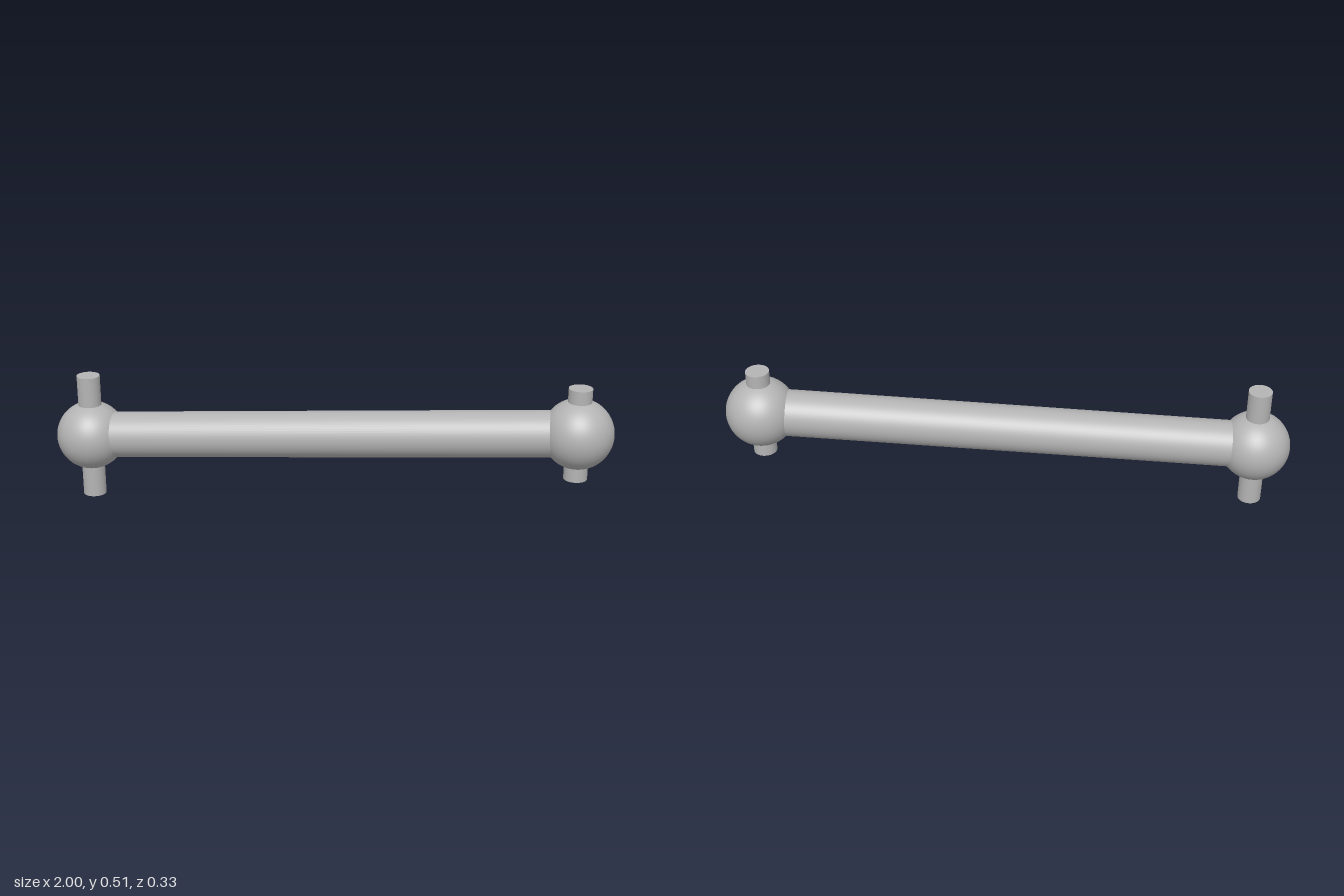
import * as THREE from 'three';

const BALL_RADIUS = 0.1245;
const PIN_RADIUS = 0.0415;
const ROD_RADIUS = 0.083;

export function createModel() {
  const model = new THREE.Group();
  model.name = 'driveShaft';
  const steel = new THREE.MeshStandardMaterial({ color: 0xb4b4b4 });
  steel.name = 'grey steel';

  const add = (name, geometry, position) => {
    const mesh = new THREE.Mesh(geometry, steel);
    mesh.name = name;
    mesh.position.copy(position);
    model.add(mesh);
    return mesh;
  };

  // Ball joints, each crossed by a vertical pin
  const joints = [
    { side: 'right', center: new THREE.Vector3(-0.8755, 0.23, -0.0415), bottom: 0, top: 0.458 },
    { side: 'left', center: new THREE.Vector3(0.8755, 0.347, 0.0415), bottom: 0.18, top: 0.513 },
  ];
  for (const { side, center, bottom, top } of joints) {
    add(`${side}Ball`, new THREE.SphereGeometry(BALL_RADIUS, 64, 40), center);
    add(`${side}Pin`, new THREE.CylinderGeometry(PIN_RADIUS, PIN_RADIUS, top - bottom, 48),
      new THREE.Vector3(center.x, (bottom + top) / 2, center.z));
  }

  // Rod running between the ball centres
  const [start, end] = joints.map((j) => j.center);
  const axis = end.clone().sub(start);
  const rod = add('rod', new THREE.CylinderGeometry(ROD_RADIUS, ROD_RADIUS, axis.length(), 64),
    start.clone().add(end).multiplyScalar(0.5));
  rod.quaternion.setFromUnitVectors(new THREE.Vector3(0, 1, 0), axis.normalize());

  return model;
}
